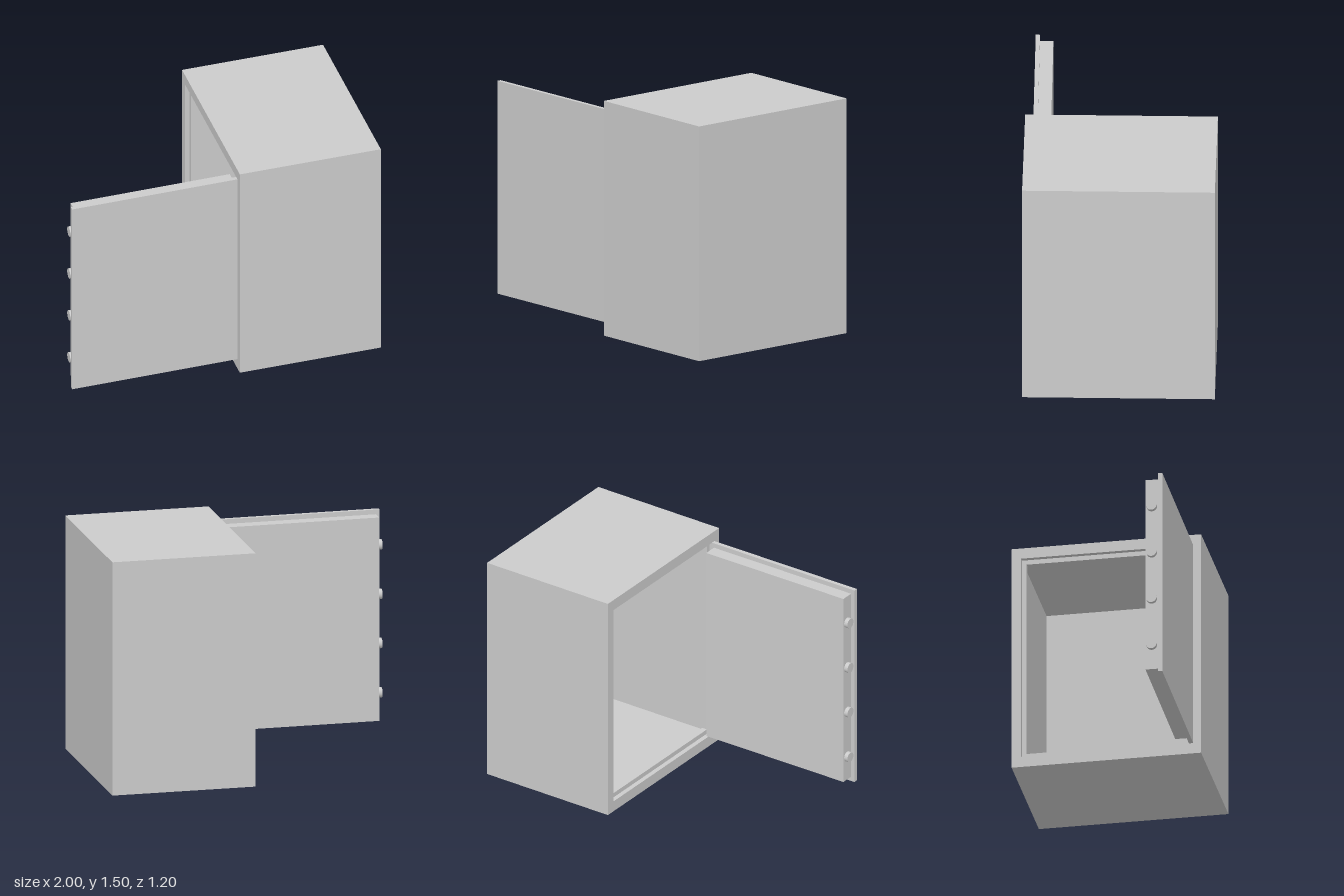
import * as THREE from 'three';

const material = new THREE.MeshStandardMaterial({ color: 0xcccccc });

function add(parent, name, geometry, x, y, z) {
  const mesh = new THREE.Mesh(geometry, material);
  mesh.name = name;
  mesh.position.set(x, y, z);
  parent.add(mesh);
  return mesh;
}

function trace(path, w, h) {
  path.moveTo(-w / 2, -h / 2);
  path.lineTo(w / 2, -h / 2);
  path.lineTo(w / 2, h / 2);
  path.lineTo(-w / 2, h / 2);
  path.closePath();
  return path;
}

// Rectangular ring, w along z and h along y, running from x0 to x1
function ring(w, h, innerW, innerH, x0, x1) {
  const shape = trace(new THREE.Shape(), w, h);
  shape.holes.push(trace(new THREE.Path(), innerW, innerH));
  const geometry = new THREE.ExtrudeGeometry(shape, { depth: x1 - x0, bevelEnabled: false });
  geometry.rotateY(-Math.PI / 2);
  return geometry.translate(x1, 0, 0);
}

export function createModel() {
  const model = new THREE.Group();
  model.name = 'openSafe';
  const height = 1.5, depth = 1.2, midY = height / 2;
  const openW = 1.08, openH = 1.36;
  const mouthX = 0.08, wall = 0.06;

  // Cabinet: hollow shell, closed back and the stop the door shuts against
  const cabinet = new THREE.Group();
  cabinet.name = 'cabinet';
  model.add(cabinet);
  add(cabinet, 'shell', ring(depth, height, openW, openH, mouthX, 1), 0, midY, 0);
  add(cabinet, 'backWall', new THREE.BoxGeometry(wall, openH, openW), 1 - wall / 2, midY, 0);
  add(cabinet, 'doorStop',
    ring(openW, openH, openW - 0.06, openH - 0.06, mouthX + 0.03, mouthX + 0.065), 0, midY, 0);

  // Door: swung open about its hinge edge
  const door = new THREE.Group();
  door.name = 'door';
  door.position.set(mouthX, midY, 0.55);
  door.rotation.y = 0.0065;
  model.add(door);
  add(door, 'doorPlate', new THREE.BoxGeometry(openW, openH, 0.027), -openW / 2, 0, -0.0135);
  add(door, 'doorBlock', new THREE.BoxGeometry(1.04, 1.3, 0.085), -0.535, 0, -0.068);

  // Locking bolts on the free edge
  for (let i = 0; i < 4; i++) {
    const bolt = new THREE.CylinderGeometry(0.033, 0.033, 0.05, 24).rotateZ(Math.PI / 2);
    add(door, 'lockingBolt', bolt, -1.055, -0.485 + i * 0.317, -0.07);
  }
  return model;
}
